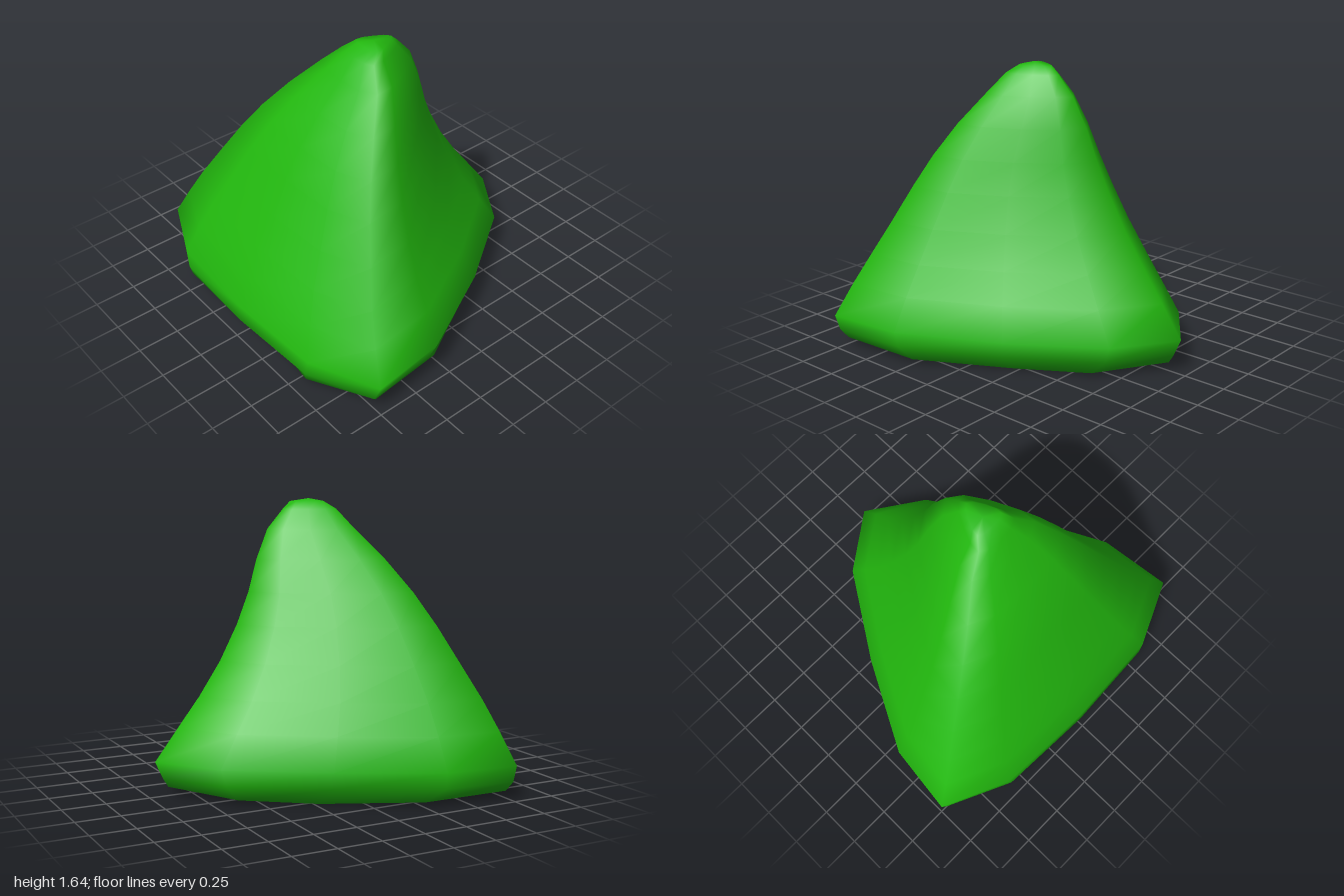
import * as THREE from 'three';

// Rounded three-cornered plan, counter-clockwise from above: [x, z]
const PLAN = [
  [0.97, 0], [0.72, -0.34], [0.2, -0.67], [-0.34, -0.95], [-0.76, -1], [-0.94, -0.61],
  [-0.97, 0], [-0.94, 0.6], [-0.76, 1], [-0.31, 0.95], [0.25, 0.67], [0.74, 0.34],
];

// Lower rim, lifted at the three corners and resting on the mid-sides: [x, y, z]
const RIM = [
  [0.89, 0.05, 0], [0.62, 0.025, -0.35], [0.22, 0, -0.54], [-0.25, 0.03, -0.87],
  [-0.73, 0.05, -0.94], [-0.93, 0.05, -0.57], [-0.84, 0, 0], [-0.93, 0.05, 0.57],
  [-0.73, 0.05, 0.93], [-0.25, 0.03, 0.87], [0.22, 0, 0.54], [0.62, 0.025, 0.35],
];

// Extent of the cross-section at each height: [y, left x, right x, back z, front z]
const LEVELS = [
  [0.1, -0.97, 0.92, -0.96, 0.96],
  [0.2, -0.965, 0.965, -1, 1],
  [0.38, -0.89, 0.83, -0.91, 0.9],
  [0.55, -0.81, 0.7, -0.82, 0.8],
  [0.74, -0.71, 0.57, -0.71, 0.7],
  [0.94, -0.61, 0.46, -0.59, 0.6],
  [1.12, -0.51, 0.38, -0.47, 0.51],
  [1.3, -0.39, 0.32, -0.33, 0.41],
  [1.47, -0.25, 0.24, -0.18, 0.3],
  [1.58, -0.17, 0.14, -0.07, 0.2],
  [1.625, -0.1, 0.09, -0.02, 0.16],
];

function moundGeometry() {
  const n = PLAN.length;
  const positions = RIM.flat();
  const index = [];

  // Fit the plan into the extent of each level
  for (const [y, x0, x1, z0, z1] of LEVELS) {
    for (const [px, pz] of PLAN) {
      positions.push(
        THREE.MathUtils.mapLinear(px, -0.97, 0.97, x0, x1),
        y,
        THREE.MathUtils.mapLinear(pz, -1, 1, z0, z1),
      );
    }
  }
  const bottom = positions.length / 3;
  const top = bottom + 1;
  positions.push(-0.15, 0, 0, -0.03, 1.64, 0.07);

  // Sides
  for (let r = 0; r < LEVELS.length; r++) {
    for (let i = 0; i < n; i++) {
      const a = r * n + i;
      const b = r * n + (i + 1) % n;
      index.push(a, b, b + n, a, b + n, a + n);
    }
  }
  // Underside and tip
  const last = n * LEVELS.length;
  for (let i = 0; i < n; i++) {
    const j = (i + 1) % n;
    index.push(bottom, j, i, top, last + i, last + j);
  }

  const geometry = new THREE.BufferGeometry();
  geometry.setAttribute('position', new THREE.Float32BufferAttribute(positions, 3));
  geometry.setIndex(index);
  geometry.computeVertexNormals();
  return geometry;
}

export function createModel() {
  const group = new THREE.Group();
  group.name = 'roundedMound';

  const green = new THREE.MeshStandardMaterial({ color: 0x22b80e });
  green.name = 'leaf green';

  const mound = new THREE.Mesh(moundGeometry(), green);
  mound.name = 'mound';
  group.add(mound);
  return group;
}
